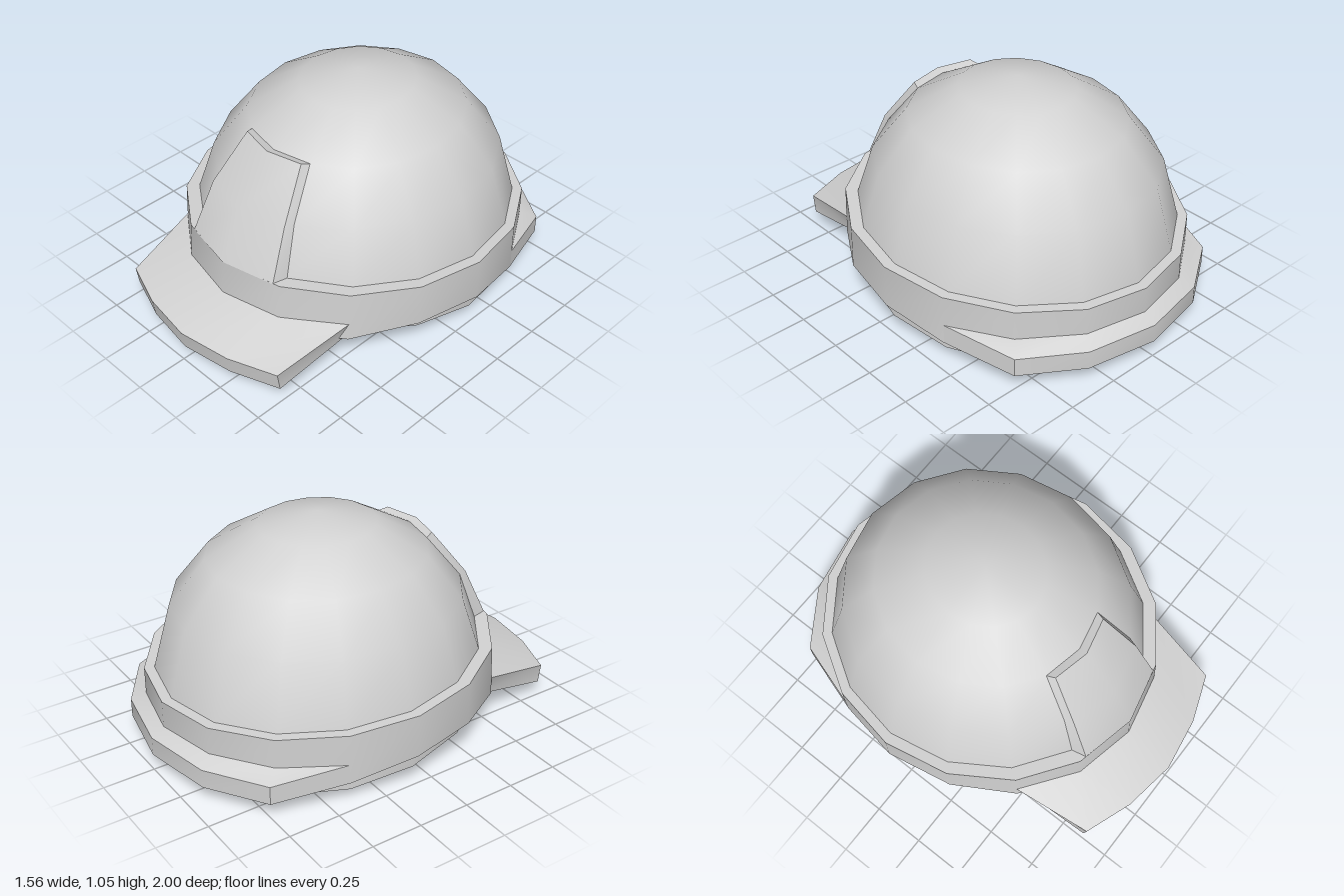
import * as THREE from 'three';
import { toCreasedNormals } from 'three/addons/utils/BufferGeometryUtils.js';

const SIDES = 16;
const CZ = -0.1; // centre of the oval cross-sections

// Point on an oval at step i (0 = front, increasing toward the left)
function oval(i, rx, rz, y, cz = CZ) {
  const a = (i / SIDES) * Math.PI * 2;
  const z = cz + rz * Math.cos(a);
  return new THREE.Vector3(rx * Math.sin(a), typeof y === 'function' ? y(z, i) : y, z);
}
const ring = (rx, rz, y, cz) =>
  Array.from({ length: SIDES + 1 }, (_, i) => oval(i % SIDES, rx, rz, y, cz));

// Skin a list of equal-length rows; optional end caps close an open strip
function loft(rows, caps = false) {
  const pos = [];
  const tri = (a, b, c) => {
    const area = b.clone().sub(a).cross(c.clone().sub(a)).length();
    if (area > 1e-7) for (const p of [a, b, c]) pos.push(p.x, p.y, p.z);
  };
  for (let r = 0; r + 1 < rows.length; r++) {
    for (let i = 0; i + 1 < rows[r].length; i++) {
      const a = rows[r][i], b = rows[r][i + 1], c = rows[r + 1][i + 1], d = rows[r + 1][i];
      tri(a, b, c);
      tri(a, c, d);
    }
  }
  if (caps) {
    const s = rows.map((r) => r[0]), e = rows.map((r) => r[r.length - 1]);
    tri(s[0], s[1], s[2]);
    tri(s[0], s[2], s[3]);
    tri(e[2], e[1], e[0]);
    tri(e[3], e[2], e[0]);
  }
  const g = new THREE.BufferGeometry();
  g.setAttribute('position', new THREE.Float32BufferAttribute(pos, 3));
  return toCreasedNormals(g, THREE.MathUtils.degToRad(32));
}

export function createModel() {
  const group = new THREE.Group();
  const shellGrey = new THREE.MeshStandardMaterial({ color: 0xd2d2d2 });
  shellGrey.name = 'shellGrey';
  shellGrey.side = THREE.DoubleSide;
  const add = (name, geometry) => {
    const mesh = new THREE.Mesh(geometry, shellGrey);
    mesh.name = name;
    group.add(mesh);
  };

  // Tilted heights of the band top and the inner rim
  const bandTopY = (z) => 0.385 + 0.05 * z;
  const rimY = (z) => 0.103 + 0.118 * z;
  // Wavy lower edges of the band, outer and inner, from front to back
  const lowEdge = [0.17, 0.165, 0.16, 0.185, 0.17, 0.12, 0.08, 0.08, 0.08];
  const innerEdge = [0.17, 0.168, 0.158, 0.168, 0.165, 0.12, 0.085, 0.085, 0.085];
  const edgeY = (edge) => (z, i) => edge[Math.min(i, SIDES - i)];

  // Dome: radius across x and height of each ring, base first
  const profile = [[0.73, bandTopY], [0.65, 0.655], [0.49, 0.865], [0.262, 1.003], [0, 1.055]];
  const domePoint = (i, k) => oval(i, profile[k][0], profile[k][0] * 1.068, profile[k][1], -0.11);
  add('dome', loft(profile.map(([r, y]) => ring(r, r * 1.068, y, -0.11))));

  // Band around the dome, slightly flared at the front
  const bandLow = ring(0.78, 0.838, edgeY(lowEdge));
  for (const p of bandLow) if (p.z > 0) p.z *= 1.025;
  add('band', loft([
    ring(0.74, 0.77, edgeY(innerEdge)),
    bandLow,
    ring(0.78, 0.838, bandTopY),
    ring(0.73, 0.779, bandTopY, -0.11),
  ]));

  // Inner rim: shallow ceiling, inner wall, flat underside and outer wall
  const above = (h) => (z) => rimY(z) + h;
  add('innerRim', loft([
    ring(0, 0, above(0.3)),
    ring(0.25, 0.26, above(0.285)),
    ring(0.48, 0.5, above(0.24)),
    ring(0.66, 0.69, above(0.17)),
    ring(0.66, 0.69, rimY),
    ring(0.74, 0.77, rimY),
    ring(0.74, 0.77, (z, i) => Math.max(edgeY(innerEdge)(z, i), rimY(z))),
  ]));

  // Raised front panel following the dome, with splayed sides
  const raise = [0.072, 0.045, 0.04];
  const panelRows = raise.map((d, k) => {
    const out = (i) => domePoint(i, k).add(new THREE.Vector3(-0.014 * i, k === 2 ? 0.012 : 0, d));
    return [domePoint(-1, k), out(-1), out(0), out(1), domePoint(1, k)];
  });
  panelRows.push([-1, -1, 0, 1, 1].map((i) => domePoint(i, 2)));
  add('frontPanel', loft(panelRows));

  // Front peak, its underside running back to the inner rim
  const frontSteps = [-2, -1, 0, 1, 2];
  const frontEdge = [[0, 1.0], [0.26, 0.96], [0.492, 0.875]];
  const peakOuter = (drop) => frontSteps.map((i) => {
    const [x, z] = frontEdge[Math.abs(i)];
    return new THREE.Vector3(Math.sign(i) * x, 0.157 - drop, z - drop * 0.15);
  });
  add('frontPeak', loft([
    frontSteps.map((i) => oval(i, 0.74, 0.77, innerEdge[Math.abs(i)])),
    peakOuter(0.088),
    peakOuter(0),
    frontSteps.map((i) => oval(i, 0.78, 0.85, 0.246)),
  ], true));

  // Back brim, fading into the band at both ends
  const backSteps = [5, 6, 7, 8, 9, 10, 11];
  const backEdge = [[0, -1], [0.34, -0.935], [0.61, -0.757], [0.72, -0.42]];
  const backOuter = (y, endY) => backSteps.map((i) => {
    const n = Math.abs(8 - i);
    const [x, z] = backEdge[n];
    return new THREE.Vector3(Math.sign(8 - i) * x, n === 3 ? endY : y, z);
  });
  const backInner = (y, endY) => backSteps.map((i) =>
    oval(i, 0.778, 0.836, Math.abs(8 - i) === 3 ? endY : y));
  add('backBrim', loft([
    backInner(0.08, 0.12),
    backOuter(0.08, 0.12),
    backOuter(0.17, 0.215),
    backInner(0.21, 0.215),
  ]));

  return group;
}
